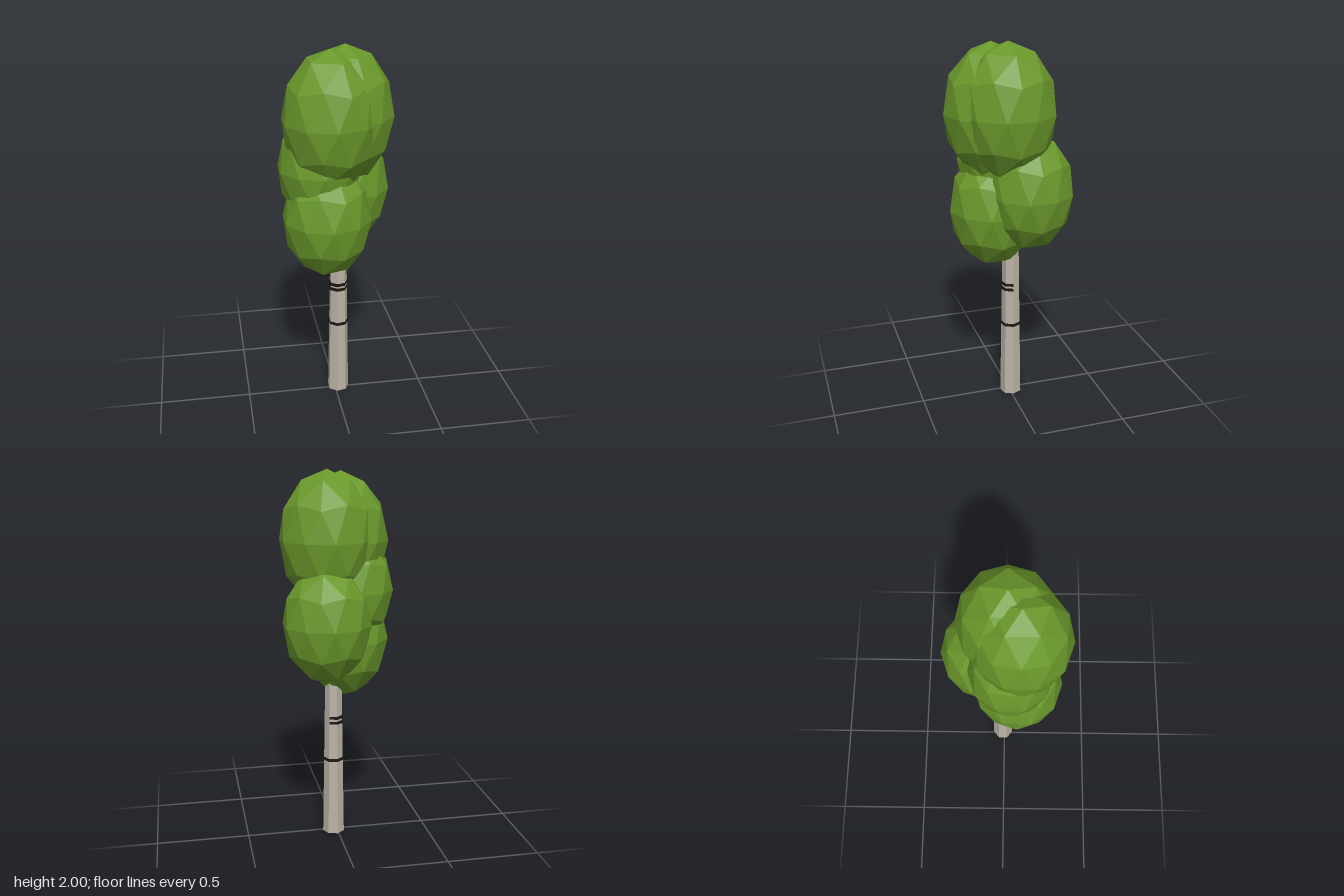
import * as THREE from 'three';

const leafMat = new THREE.MeshStandardMaterial({ color: 0x6a982b, flatShading: true });
leafMat.name = 'leafGreen';
const barkMat = new THREE.MeshStandardMaterial({ color: 0xbab2a4, flatShading: true });
barkMat.name = 'paleBark';
const ringMat = new THREE.MeshStandardMaterial({ color: 0x1c1713, flatShading: true });
ringMat.name = 'darkRing';

// Faceted ball with one corner straight up, stretched upright
const ball = new THREE.IcosahedronGeometry(1, 1);
ball.rotateZ(-Math.atan(2 / (1 + Math.sqrt(5))));

function clump(name, x, y, z, radius, halfHeight) {
  const geo = ball.clone().scale(radius, halfHeight, radius);
  geo.computeVertexNormals();
  const mesh = new THREE.Mesh(geo, leafMat);
  mesh.name = name;
  mesh.position.set(x, y, z);
  return mesh;
}

// Upright seven-sided cylinder with a corner towards +x
function heptagon(name, material, topRadius, bottomRadius, height, x, y, z) {
  const geo = new THREE.CylinderGeometry(topRadius, bottomRadius, height, 7);
  geo.rotateY(Math.PI / 2);
  const mesh = new THREE.Mesh(geo, material);
  mesh.name = name;
  mesh.position.set(x, y, z);
  return mesh;
}

export function createModel() {
  const tree = new THREE.Group();
  tree.name = 'tree';

  // Tapering trunk, running up into the foliage
  const HEIGHT = 1.3, BASE = 0.06, TOP = 0.039, X = 0.019, Z = -0.01;
  tree.add(heptagon('trunk', barkMat, TOP, BASE, HEIGHT, X, HEIGHT / 2, Z));

  // Dark bark rings; the upper pair sinks into the bark on one side
  for (const [y, dx, dz] of [[0.435, 0, 0], [0.65, -0.0026, 0.0014], [0.678, -0.0026, 0.0014]]) {
    const r = BASE + (TOP - BASE) * y / HEIGHT + 0.003;
    tree.add(heptagon('barkRing', ringMat, r, r, 0.016, X + dx, y, Z + dz));
  }

  // Overlapping foliage clumps
  tree.add(
    clump('lowerFrontFoliage', -0.055, 1.1, 0.068, 0.238, 0.325),
    clump('lowerBackFoliage', 0.07, 1.213, -0.098, 0.235, 0.32),
    clump('middleFoliage', -0.09, 1.37, 0.033, 0.22, 0.3),
    clump('upperFrontFoliage', -0.037, 1.63, 0.079, 0.254, 0.36),
    clump('upperBackFoliage', 0.048, 1.64, 0.014, 0.254, 0.36)
  );
  return tree;
}
